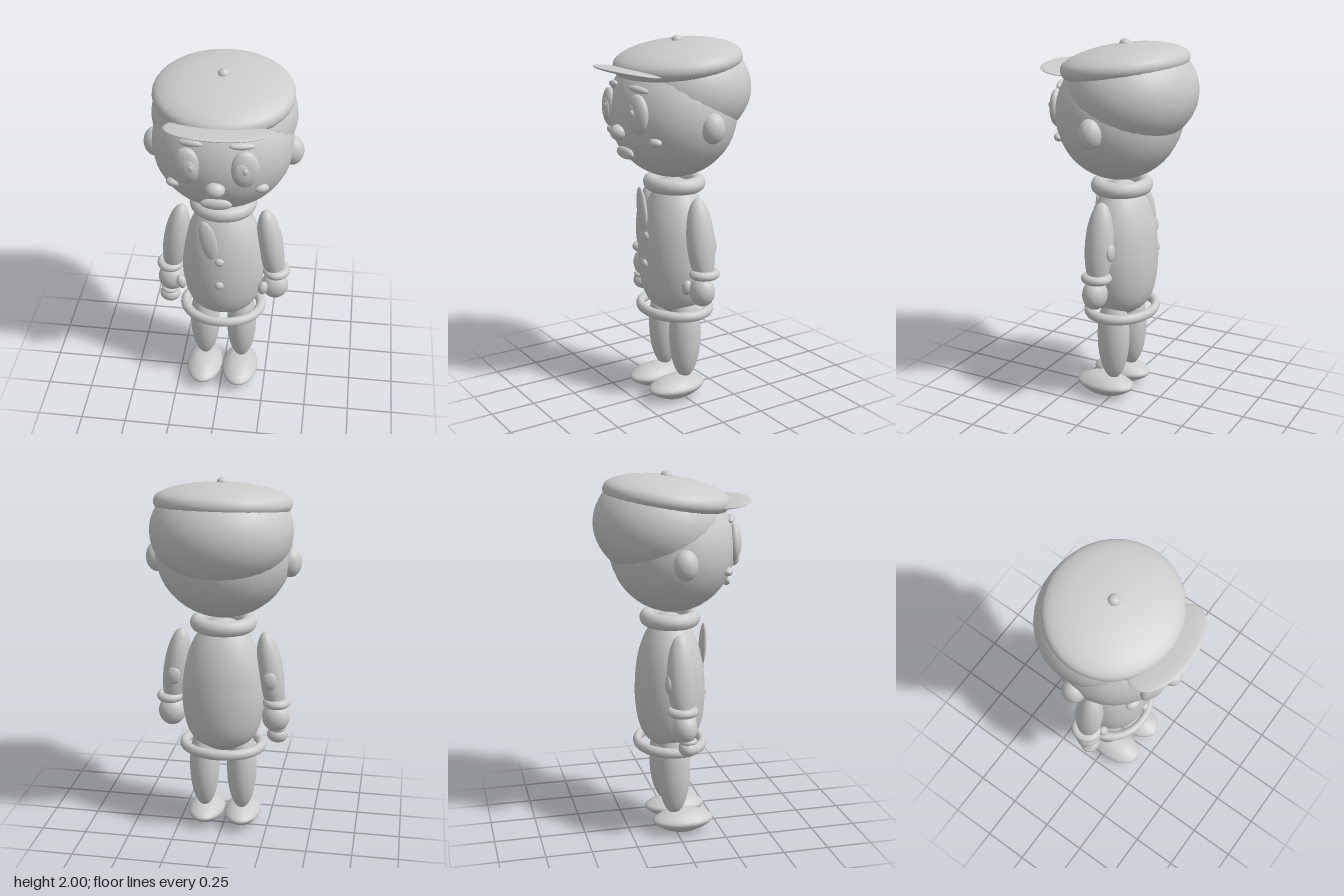
import * as THREE from 'three';

export function createModel() {
  const group = new THREE.Group();
  const grey = new THREE.MeshStandardMaterial({ color: 0xcccccc });
  grey.name = 'plain grey';

  const add = (name, geometry, pos, scale = [1, 1, 1], rot = [0, 0, 0]) => {
    const mesh = new THREE.Mesh(geometry, grey);
    mesh.name = name;
    mesh.position.set(...pos);
    mesh.scale.set(...scale);
    mesh.rotation.set(...rot);
    group.add(mesh);
    return mesh;
  };
  const ball = new THREE.SphereGeometry(1, 32, 24);
  const blob = (name, pos, radii, rot) => add(name, ball, pos, radii, rot);
  // ring lying flat in the xz plane
  const ring = (name, pos, radius, tube, depth = 1) =>
    add(name, new THREE.TorusGeometry(radius, tube, 16, 40).rotateX(Math.PI / 2), pos, [1, 1, depth]);
  // smooth turned form, profile listed from bottom to top
  const turned = (points) => {
    const curve = new THREE.SplineCurve(points.map(([x, y]) => new THREE.Vector2(x, y)));
    const profile = curve.getPoints(32);
    profile.forEach((p) => { p.x = Math.max(p.x, 0); });
    return new THREE.LatheGeometry(profile, 36);
  };

  // Head and hair
  blob('head', [0, 1.61, 0], [0.365, 0.355, 0.335]);
  add('hair', new THREE.SphereGeometry(1, 36, 24, 0, Math.PI * 2, 0.85, Math.PI - 0.85),
    [0, 1.73, -0.07], [0.374, 0.29, 0.345]);

  // Cap, sloping down to the front
  add('cap', turned([[0, -0.055], [0.2, -0.056], [0.32, -0.055], [0.35, -0.038], [0.36, -0.008],
    [0.34, 0.028], [0.27, 0.06], [0.15, 0.085], [0, 0.096]]),
  [0, 1.88, -0.027], [1, 1, 0.93], [0.128, 0, 0]);
  blob('capVisor', [0, 1.832, 0.275], [0.26, 0.017, 0.14], [-0.15, 0, 0]);
  blob('capButton', [0, 1.974, -0.028], [0.03, 0.026, 0.03]);

  // Face
  blob('nose', [0, 1.524, 0.33], [0.05, 0.042, 0.043]);
  blob('mouth', [0, 1.412, 0.292], [0.08, 0.032, 0.022]);
  for (const s of [-1, 1]) {
    blob('eye', [s * 0.143, 1.635, 0.3], [0.072, 0.102, 0.036], [0, s * 0.2, 0]);
    blob('iris', [s * 0.135, 1.628, 0.323], [0.046, 0.064, 0.02], [0, s * 0.2, 0]);
    blob('eyeHighlight', [s * 0.133 + 0.015, 1.645, 0.338], [0.014, 0.018, 0.01]);
    blob('eyebrow', [s * 0.127, 1.757, 0.284], [0.065, 0.018, 0.02], [0, s * 0.3, -s * 0.1]);
    blob('cheek', [s * 0.222, 1.497, 0.245], [0.038, 0.023, 0.026], [0, s * 0.3, 0]);
    blob('ear', [s * 0.355, 1.566, -0.014], [0.06, 0.08, 0.063]);
  }

  // Torso, collar, belt, neckerchief and buttons
  add('body', turned([[0, 0.47], [0.06, 0.487], [0.12, 0.52], [0.17, 0.56], [0.207, 0.64], [0.225, 0.76],
    [0.224, 0.87], [0.208, 0.99], [0.17, 1.1], [0.12, 1.18], [0.07, 1.225], [0, 1.24]]),
  [0, 0, -0.012], [1, 1, 0.84]);
  ring('collar', [0, 1.217, -0.01], 0.138, 0.042, 0.91);
  ring('belt', [0, 0.513, -0.012], 0.215, 0.028, 0.83);
  blob('neckerchiefTail', [-0.06, 1.068, 0.157], [0.045, 0.128, 0.018], [0, 0, 0.2]);
  blob('upperButton', [0, 0.937, 0.165], [0.026, 0.026, 0.018]);
  blob('lowerButton', [0, 0.786, 0.177], [0.025, 0.025, 0.018]);

  // Arms and legs
  const shoe = turned([[0, 0.004], [0.04, 0.012], [0.08, 0.042], [0.103, 0.075],
    [0.088, 0.103], [0.05, 0.13], [0, 0.14]]);
  for (const s of [-1, 1]) {
    blob('arm', [s * 0.26, 0.945, -0.01], [0.07, 0.232, 0.077], [0, 0, s * 0.15]);
    blob('elbowPatch', [s * 0.262, 0.92, -0.078], [0.038, 0.052, 0.02]);
    ring('cuff', [s * 0.295, 0.777, -0.012], 0.052, 0.024, 1.1);
    blob('hand', [s * 0.291, 0.682, 0], [0.075, 0.083, 0.066]);
    blob('thumb', [s * 0.228, 0.692, 0.055], [0.028, 0.042, 0.027], [0, 0, -s * 0.2]);
    blob('leg', [s * 0.106, 0.375, -0.013], [0.083, 0.257, 0.09]);
    add('shoe', shoe, [s * 0.104, 0, 0.04], [1, 1, 1.65]);
  }

  // Small object held in the right hand
  blob('heldItem', [-0.3, 0.573, 0.015], [0.058, 0.046, 0.05]);
  ring('heldItemBand', [-0.3, 0.612, 0.015], 0.036, 0.013);

  return group;
}
